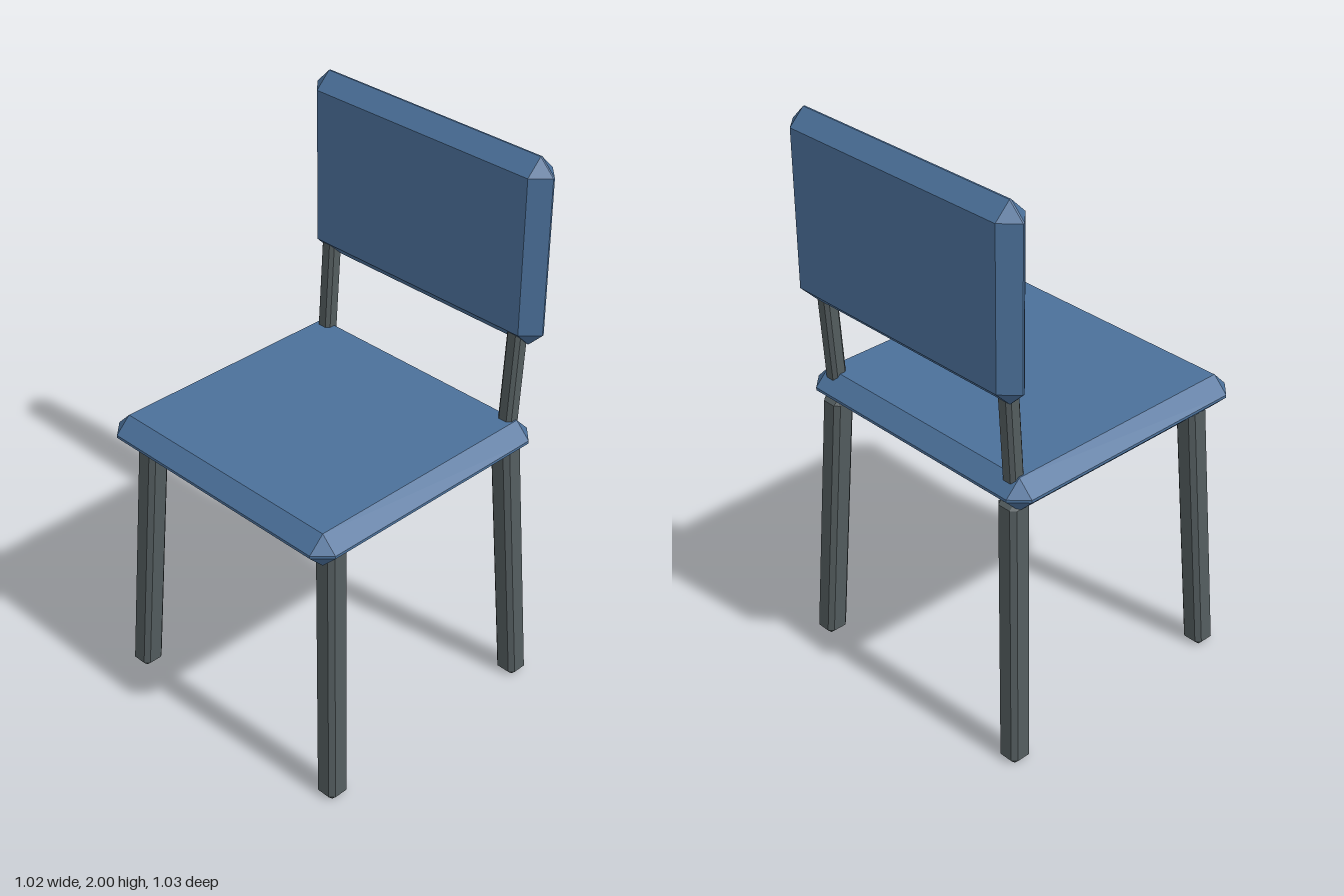
import * as THREE from 'three';
import { ConvexGeometry } from 'three/addons/geometries/ConvexGeometry.js';

const paint = new THREE.MeshStandardMaterial({ name: 'bluePaint', color: 0x4b709a });
const metal = new THREE.MeshStandardMaterial({ name: 'greyMetal', color: 0x535c5e });

// Box with chamfered edges and triangular corners, centred on the origin
function chamferedBox(w, h, d, c) {
  const [x, y, z] = [w / 2, h / 2, d / 2];
  const points = [];
  for (const i of [-1, 1]) for (const j of [-1, 1]) for (const k of [-1, 1]) {
    points.push(
      new THREE.Vector3(i * x, j * (y - c), k * (z - c)),
      new THREE.Vector3(i * (x - c), j * y, k * (z - c)),
      new THREE.Vector3(i * (x - c), j * (y - c), k * z),
    );
  }
  return new ConvexGeometry(points);
}

function addPart(group, name, geometry, material, x, y, z) {
  const mesh = new THREE.Mesh(geometry, material);
  mesh.name = name;
  mesh.position.set(x, y, z);
  group.add(mesh);
  return mesh;
}

// Square post leaning from a bottom centre to a top centre
function addPost(group, name, bottom, top, width, chamfer) {
  const a = new THREE.Vector3(...bottom);
  const b = new THREE.Vector3(...top);
  const dir = b.clone().sub(a);
  const height = dir.y;
  const geometry = chamferedBox(width, height, width, chamfer);
  geometry.applyMatrix4(new THREE.Matrix4().set(
    1, dir.x / height, 0, 0,
    0, 1, 0, 0,
    0, dir.z / height, 1, 0,
    0, 0, 0, 1,
  ));
  const mid = a.add(b).multiplyScalar(0.5);
  addPart(group, name, geometry, metal, mid.x, mid.y, mid.z);
}

export function createModel() {
  const chair = new THREE.Group();
  chair.name = 'chair';

  // Seat and backrest panels
  addPart(chair, 'seat', chamferedBox(1.02, 0.12, 0.995, 0.055), paint, 0, 1.005, 0.02);
  addPart(chair, 'backrest', chamferedBox(1.02, 0.66, 0.116, 0.055), paint, 0, 1.67, -0.458);

  // Splayed legs and backrest posts, mirrored left and right
  for (const [side, s] of [['left', 1], ['right', -1]]) {
    addPost(chair, side + 'FrontLeg', [s * 0.472, 0, 0.437], [s * 0.42, 0.97, 0.392], 0.082, 0.016);
    addPost(chair, side + 'BackLeg', [s * 0.472, 0, -0.458], [s * 0.42, 0.97, -0.413], 0.082, 0.016);
    addPost(chair, side + 'BackPost', [s * 0.422, 1.0, -0.413], [s * 0.422, 1.5, -0.445], 0.056, 0.012);
  }
  return chair;
}
